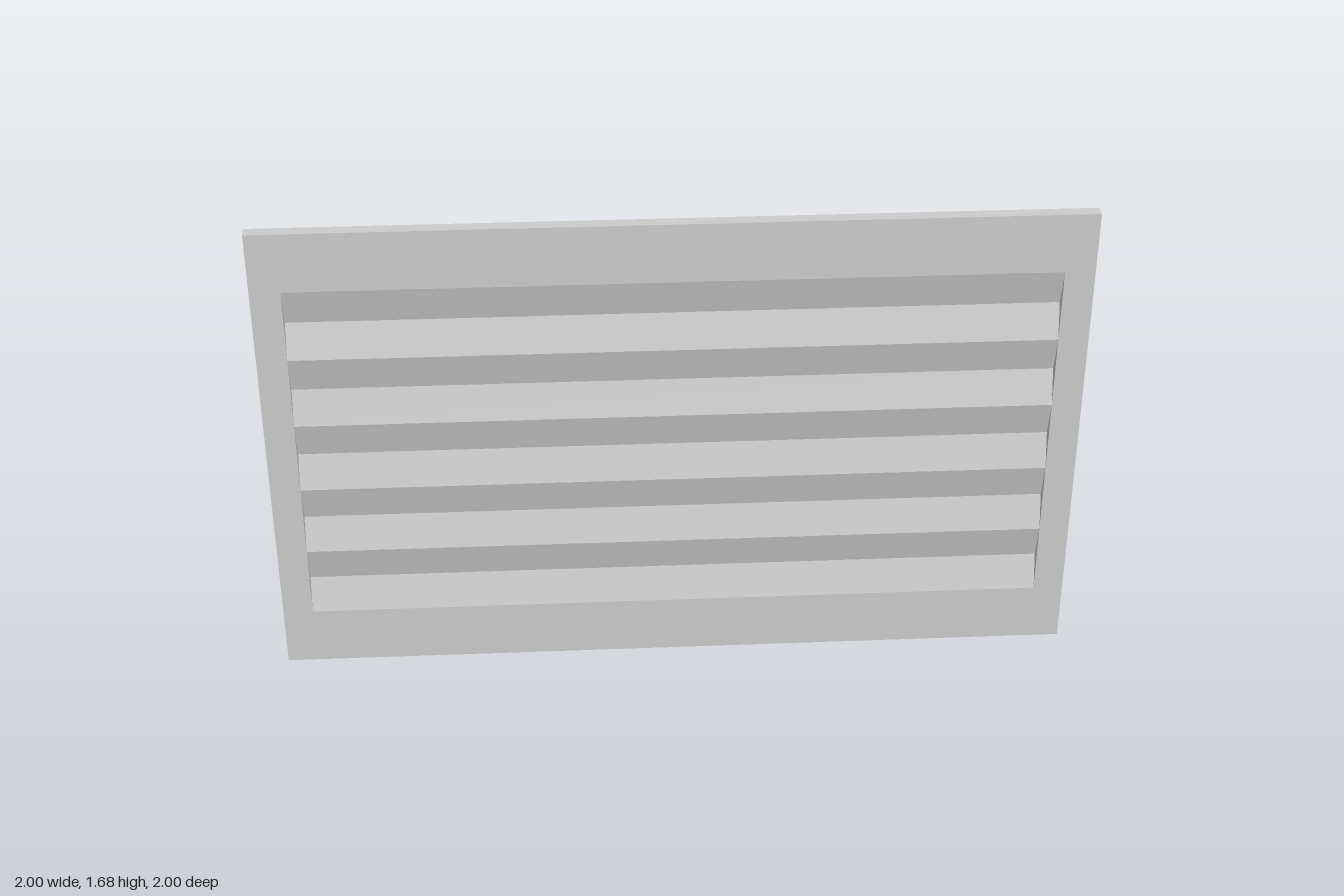
import * as THREE from 'three';

const LENGTH = 2.78, HEIGHT = 1.68, THICK = 0.048;
const OPEN_HALF = 1.287, BORDER = 0.08;
const GROOVES = 5, PITCH = 0.2526, DEPTH = 0.031;

export function createModel() {
  const material = new THREE.MeshStandardMaterial({
    color: 0xcccccc, flatShading: true, side: THREE.DoubleSide,
  });
  const group = new THREE.Group();
  group.name = 'louveredPanel';

  // Rectangular frame with one large opening
  const outline = new THREE.Shape([
    [-LENGTH / 2, 0], [LENGTH / 2, 0], [LENGTH / 2, HEIGHT], [-LENGTH / 2, HEIGHT],
  ].map(([x, y]) => new THREE.Vector2(x, y)));
  outline.holes.push(new THREE.Path([
    [-OPEN_HALF, BORDER], [-OPEN_HALF, HEIGHT - BORDER],
    [OPEN_HALF, HEIGHT - BORDER], [OPEN_HALF, BORDER],
  ].map(([x, y]) => new THREE.Vector2(x, y))));
  const frameGeometry = new THREE.ExtrudeGeometry(outline, { depth: THICK, bevelEnabled: false });
  frameGeometry.translate(0, 0, -THICK / 2);
  const frame = new THREE.Mesh(frameGeometry, material);
  frame.name = 'frame';
  group.add(frame);

  // Folded sheet flush with the front: profile of (y, z) from top to bottom
  const front = THICK / 2;
  const grooveTop = HEIGHT / 2 + GROOVES * PITCH / 2;
  const profile = [[HEIGHT - BORDER, front]];
  for (let i = 0; i <= GROOVES * 2; i++) {
    profile.push([grooveTop - i * PITCH / 2, i % 2 ? front - DEPTH : front]);
  }
  profile.push([BORDER, front]);

  const plane = new THREE.PlaneGeometry(OPEN_HALF * 2, 1, 1, profile.length - 1);
  const position = plane.attributes.position;
  for (let i = 0; i < position.count; i++) {
    const [y, z] = profile[Math.floor(i / 2)];
    position.setY(i, y);
    position.setZ(i, z);
  }
  const sheetGeometry = plane.toNonIndexed();
  sheetGeometry.computeVertexNormals();
  const sheet = new THREE.Mesh(sheetGeometry, material);
  sheet.name = 'louverSheet';
  group.add(sheet);

  // The panel stands on the diagonal
  group.rotation.y = -Math.PI / 4;
  return group;
}
